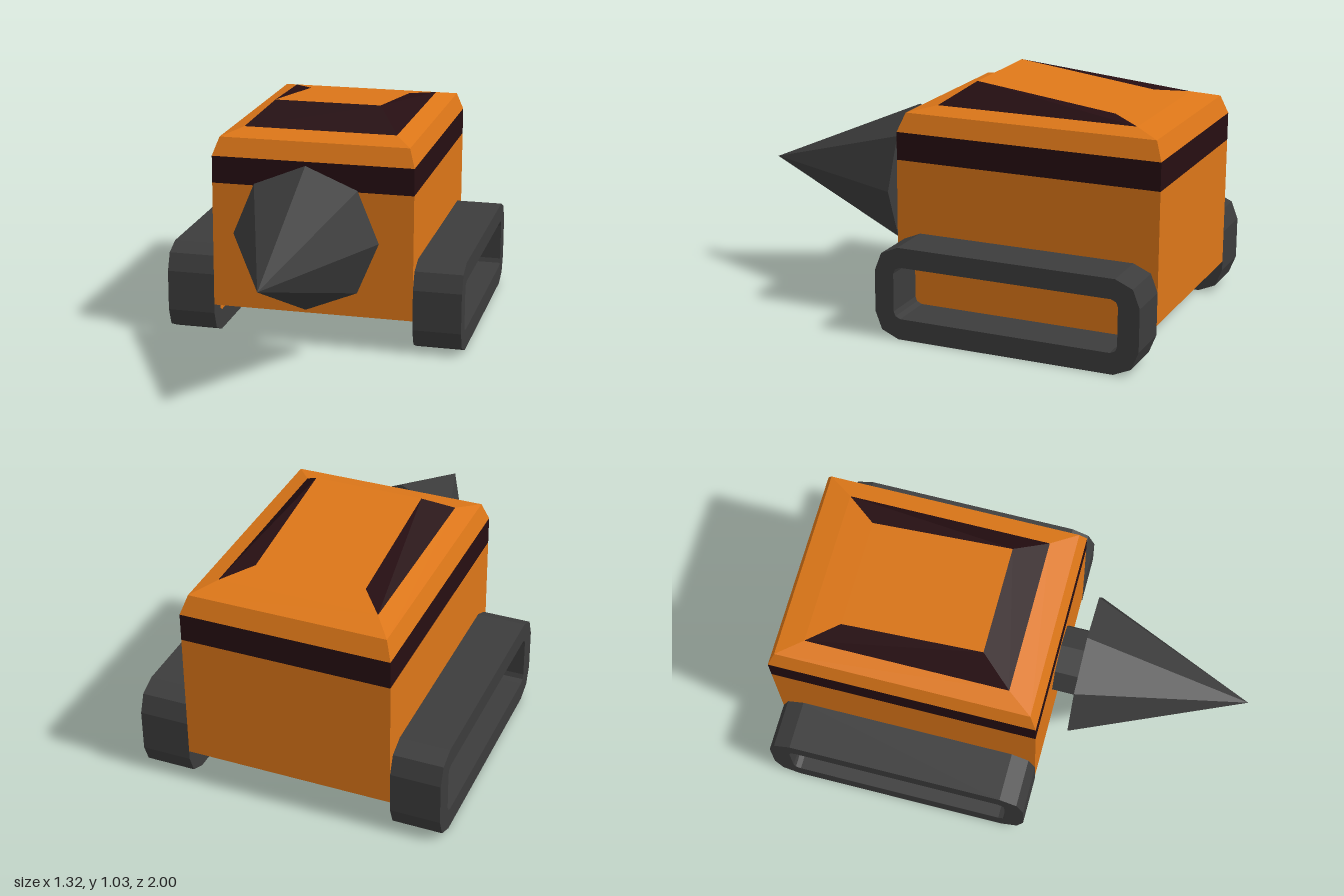
import * as THREE from 'three';

const paint = (color) => new THREE.MeshStandardMaterial({ color, flatShading: true });

// Flat-shaded geometry from convex polygons, corners counter-clockwise from outside
function faceted(polygons) {
  const pos = [];
  for (const p of polygons)
    for (let i = 1; i < p.length - 1; i++) pos.push(...p[0], ...p[i], ...p[i + 1]);
  const g = new THREE.BufferGeometry();
  g.setAttribute('position', new THREE.Float32BufferAttribute(pos, 3));
  g.computeVertexNormals();
  return g;
}

// Horizontal rectangle, counter-clockwise from above
const ring = ([x, back, front, y]) => [[-x, y, front], [x, y, front], [x, y, back], [-x, y, back]];

// Stack of rectangles joined by side walls, optionally closed
function stack(levels, capBottom, capTop) {
  const rings = levels.map(ring), faces = [];
  for (let k = 0; k < rings.length - 1; k++)
    for (let i = 0; i < 4; i++) {
      const j = (i + 1) % 4;
      faces.push([rings[k][i], rings[k][j], rings[k + 1][j], rings[k + 1][i]]);
    }
  if (capBottom) faces.push([...rings[0]].reverse());
  if (capTop) faces.push(rings[rings.length - 1]);
  return faceted(faces);
}

// Rectangle in the side plane with each corner cut by the given (dz, dy) offsets
function cutRect(Type, z0, z1, y0, y1, cuts) {
  const pts = [], back = [...cuts].reverse();
  const add = (z, y, sz, sy, list) => list.forEach(([a, b]) => pts.push(new THREE.Vector2(z + sz * a, y + sy * b)));
  add(z1, y0, -1, 1, cuts);
  add(z1, y1, -1, -1, back);
  add(z0, y1, 1, -1, cuts);
  add(z0, y0, 1, 1, back);
  return new Type(pts);
}

export function createModel() {
  const model = new THREE.Group();
  const orange = paint(0xdc7618), dark = paint(0x260e12), grey = paint(0x3c3c3c);
  const add = (name, geometry, material) => {
    const mesh = new THREE.Mesh(geometry, material);
    mesh.name = name;
    model.add(mesh);
    return mesh;
  };

  // Body: lower hull, dark stripe, bevelled top
  const X = 0.447, B = -1, F = 0.16;
  add('hull', stack([[X, B, F, 0.15], [X, B, F, 0.71]], true, false), orange);
  add('stripe', stack([[X, B, F, 0.71], [X, B, F, 0.83]], false, false), dark);
  add('topCover', stack([[X, B, F, 0.83], [0.42, -0.97, 0.13, 0.91], [0.34, -0.86, 0.02, 0.935]], false, true), orange);

  // Cabin: sloping roof with dark windows at the front and sides
  const baseFront = (s) => [s * 0.34, 0.935, 0.02], baseBack = (s) => [s * 0.34, 0.935, -0.86];
  const roofFront = (s) => [s * 0.237, 1.03, -0.115], roofBack = (s) => [s * 0.237, 0.952, -0.73];
  add('roof', faceted([
    [roofFront(-1), roofFront(1), roofBack(1), roofBack(-1)],
    [roofBack(-1), roofBack(1), baseBack(1), baseBack(-1)],
  ]), orange);
  add('windows', faceted([
    [baseFront(-1), baseFront(1), roofFront(1), roofFront(-1)],
    [baseFront(1), baseBack(1), roofFront(1)],
    [baseBack(1), roofBack(1), roofFront(1)],
    [baseFront(-1), roofFront(-1), baseBack(-1)],
    [baseBack(-1), roofFront(-1), roofBack(-1)],
  ]), dark);

  // Drill: eight-sided shaft and cone
  const shaft = new THREE.CylinderGeometry(0.153, 0.153, 0.13, 8).rotateX(Math.PI / 2);
  add('drillShaft', shaft, grey).position.set(0, 0.522, 0.215);
  const cone = new THREE.ConeGeometry(0.32, 0.73, 8).rotateX(Math.PI / 2);
  add('drillCone', cone, grey).position.set(0, 0.522, 0.635);

  // Tracks: hollow loops with a panel closing the inner side
  const width = 0.213;
  const loop = cutRect(THREE.Shape, B, F, 0, 0.4, [[0.105, 0], [0.03, 0.033], [0, 0.11]]);
  loop.holes.push(cutRect(THREE.Path, -0.91, 0.075, 0.09, 0.315, [[0.03, 0], [0.008, 0.01], [0, 0.03]]));
  const track = new THREE.ExtrudeGeometry(loop, { depth: width, bevelEnabled: false })
    .rotateY(-Math.PI / 2).translate(width / 2, 0, 0);
  for (const [side, s] of [['left', 1], ['right', -1]]) {
    add(side + 'Track', track, grey).position.x = s * (X + width / 2);
    add(side + 'TrackPanel', new THREE.BoxGeometry(0.008, 0.225, 0.985), orange)
      .position.set(s * (X + 0.005), 0.2025, -0.4175);
  }
  return model;
}
